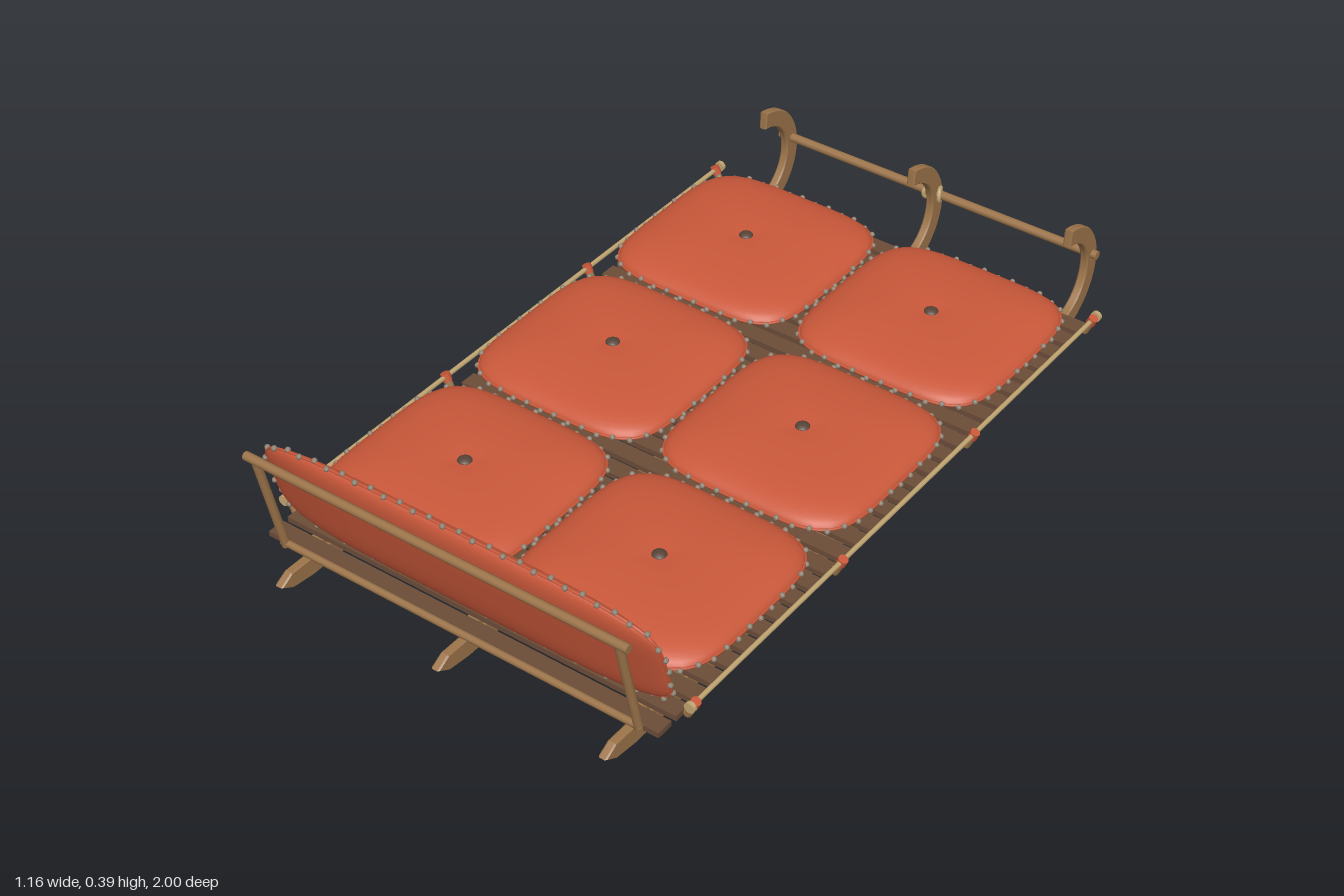
import * as THREE from 'three';
import { mergeVertices } from 'three/addons/utils/BufferGeometryUtils.js';

const mat = (name, color) => {
  const m = new THREE.MeshStandardMaterial({ color });
  m.name = name;
  return m;
};

export function createModel() {
  const wood = mat('wood', 0x9c744a);
  const slatWood = mat('dark slat wood', 0x6b4d38);
  const fabric = mat('red fabric', 0xca583a);
  const rope = mat('pale rope', 0xc2a672);
  const leather = mat('button leather', 0x584438);
  const stud = mat('stud', 0x8f8272);

  const model = new THREE.Group();
  model.name = 'sled';

  const add = (name, geometry, material, x = 0, y = 0, z = 0, parent = model) => {
    const mesh = new THREE.Mesh(geometry, material);
    mesh.name = name;
    mesh.position.set(x, y, z);
    parent.add(mesh);
    return mesh;
  };
  const V = (x, y, z) => new THREE.Vector3(x, y, z);

  // Round rod between two points
  const rod = (name, a, b, r, material, sides = 10) => {
    const d = b.clone().sub(a);
    const mid = a.clone().add(b).multiplyScalar(0.5);
    const mesh = add(name, new THREE.CylinderGeometry(r, r, d.length(), sides), material, mid.x, mid.y, mid.z);
    mesh.quaternion.setFromUnitVectors(V(0, 1, 0), d.normalize());
    return mesh;
  };

  // Runner side profile: x of the shape is -z of the sled
  const runnerShape = new THREE.Shape();
  runnerShape.moveTo(-1, 0.03);
  runnerShape.lineTo(-0.965, 0.008);
  runnerShape.lineTo(-0.9, 0);
  runnerShape.lineTo(0.845, 0);
  runnerShape.absarc(0.845, 0.155, 0.155, -Math.PI / 2, Math.PI / 2 - 0.08, false);
  runnerShape.absarc(0.845, 0.155, 0.108, Math.PI / 2 - 0.08, -Math.PI / 2, true);
  runnerShape.lineTo(-0.965, 0.051);
  runnerShape.closePath();
  const runnerGeo = new THREE.ExtrudeGeometry(runnerShape, {
    depth: 0.014, bevelEnabled: true, bevelThickness: 0.004, bevelSize: 0.003,
    bevelOffset: -0.003, bevelSegments: 1, curveSegments: 28,
  });
  runnerGeo.translate(0, 0, -0.007);
  runnerGeo.rotateY(Math.PI / 2);

  for (const x of [-0.45, 0, 0.45]) {
    add('runner', runnerGeo, wood, x, 0, 0);
    add('stringer', new THREE.BoxGeometry(0.03, 0.015, 1.73), wood, x, 0.0735, 0.05);
    for (const z of [0.47, 0.05, -0.37, -0.8]) {
      add('runnerBlock', new THREE.BoxGeometry(0.024, 0.024, 0.022), wood, x, 0.056, z);
    }
  }

  // Deck slats across the runners
  const slatGeo = new THREE.BoxGeometry(1.08, 0.014, 0.045);
  for (let i = 0; i < 29; i++) add('slat', slatGeo, slatWood, 0, 0.088, -0.795 + i * 0.0606);

  // Handle bar through the curled runner tips, with a lashing at the middle
  rod('curlBar', V(-0.475, 0.178, -0.975), V(0.475, 0.178, -0.975), 0.012, wood);
  for (const x of [-0.016, 0, 0.016]) {
    const ring = add('curlLashing', new THREE.TorusGeometry(0.018, 0.006, 6, 14), rope, x, 0.178, -0.975);
    ring.rotation.y = Math.PI / 2 + x * 25;
  }

  // Backrest frame
  rod('backrestFoot', V(-0.5, 0.088, 0.925), V(0.5, 0.088, 0.925), 0.009, wood);
  rod('backrestTopBar', V(-0.517, 0.364, 0.986), V(0.517, 0.364, 0.986), 0.011, wood);
  for (const x of [-0.49, 0.49]) rod('backrestPost', V(x, 0.08, 0.924), V(x, 0.364, 0.985), 0.0105, wood);

  // Side ropes on slanted pegs, with a red wrap at each peg and a knot at each end
  for (const s of [-1, 1]) {
    rod('sideRope', V(s * 0.563, 0.12, 0.845), V(s * 0.563, 0.12, -0.825), 0.006, rope, 8);
    for (const z of [0.845, -0.825]) {
      rod('ropeKnot', V(s * 0.563, 0.12, z - 0.005), V(s * 0.563, 0.12, z + 0.005), 0.0135, rope, 12);
    }
    for (const z of [0.83, 0.285, -0.26, -0.805]) {
      rod('peg', V(s * 0.53, 0.084, z), V(s * 0.551, 0.088, z), 0.009, wood);
      rod('peg', V(s * 0.545, 0.08, z), V(s * 0.562, 0.116, z), 0.01, wood);
      rod('pegWrap', V(s * 0.559, 0.109, z), V(s * 0.567, 0.128, z), 0.012, fabric);
    }
  }

  // Padded cushion: a sphere reshaped to a rounded-square outline with a thin seam
  const outline = (angle, a, b, n) => {
    const c = Math.cos(angle), s = Math.sin(angle);
    const k = Math.pow(Math.abs(c) ** n + Math.abs(s) ** n, -1 / n);
    return [a * k * c, b * k * s];
  };
  const cushionGeometry = (a, b, h, n, dimple) => {
    let g = new THREE.SphereGeometry(1, 64, 28);
    g.deleteAttribute('uv');
    g.deleteAttribute('normal');
    const p = g.attributes.position;
    for (let i = 0; i < p.count; i++) {
      const x = p.getX(i), y = p.getY(i), z = p.getZ(i);
      const r = Math.min(1, Math.hypot(x, z));
      const [ox, oz] = outline(Math.atan2(z, x), a, b, n);
      const lift = h * Math.pow(1 - r ** 3.4, 0.54) - dimple * Math.exp(-r * r * 90);
      p.setXYZ(i, ox * r, Math.abs(y) < 1e-6 ? 0 : Math.sign(y) * lift, oz * r);
    }
    g = mergeVertices(g, 1e-5);
    g.computeVertexNormals();
    return g;
  };
  const beadGeo = new THREE.SphereGeometry(0.007, 8, 6);
  const cushion = (name, a, b, h, n, dimple) => {
    const group = new THREE.Group();
    group.name = name;
    model.add(group);
    add('pad', cushionGeometry(a, b, h, n, dimple), fabric, 0, 0, 0, group);
    const pts = [];
    for (let i = 0; i < 72; i++) {
      const [x, z] = outline((i / 72) * Math.PI * 2, a, b, n);
      pts.push(V(x, 0, z));
    }
    const seam = new THREE.CatmullRomCurve3(pts, true);
    add('piping', new THREE.TubeGeometry(seam, 110, 0.0035, 6, true), fabric, 0, 0, 0, group);
    // Studs spaced evenly along the seam
    const count = Math.round(seam.getLength() / 0.04);
    seam.getSpacedPoints(count).slice(0, count).forEach((q, i) => {
      const out = V(q.x / a, 0, q.z / b).normalize().multiplyScalar(0.003);
      add('seamStud', beadGeo, stud, q.x + out.x, i % 2 ? 0.003 : -0.003, q.z + out.z, group);
    });
    return group;
  };

  // Six seat cushions with a centre button
  for (const x of [-0.272, 0.272]) {
    for (const z of [-0.53, 0.015, 0.56]) {
      const seat = cushion('seatCushion', 0.264, 0.261, 0.043, 4.6, 0.005);
      seat.position.set(x, 0.146, z);
      const button = add('button', new THREE.SphereGeometry(0.018, 14, 8), leather, 0, 0.039, 0, seat);
      button.scale.y = 0.5;
    }
  }

  // Leaning backrest cushion
  const back = cushion('backCushion', 0.538, 0.145, 0.03, 5, 0);
  back.position.set(0, 0.239, 0.89);
  back.rotation.x = THREE.MathUtils.degToRad(105);

  return model;
}
